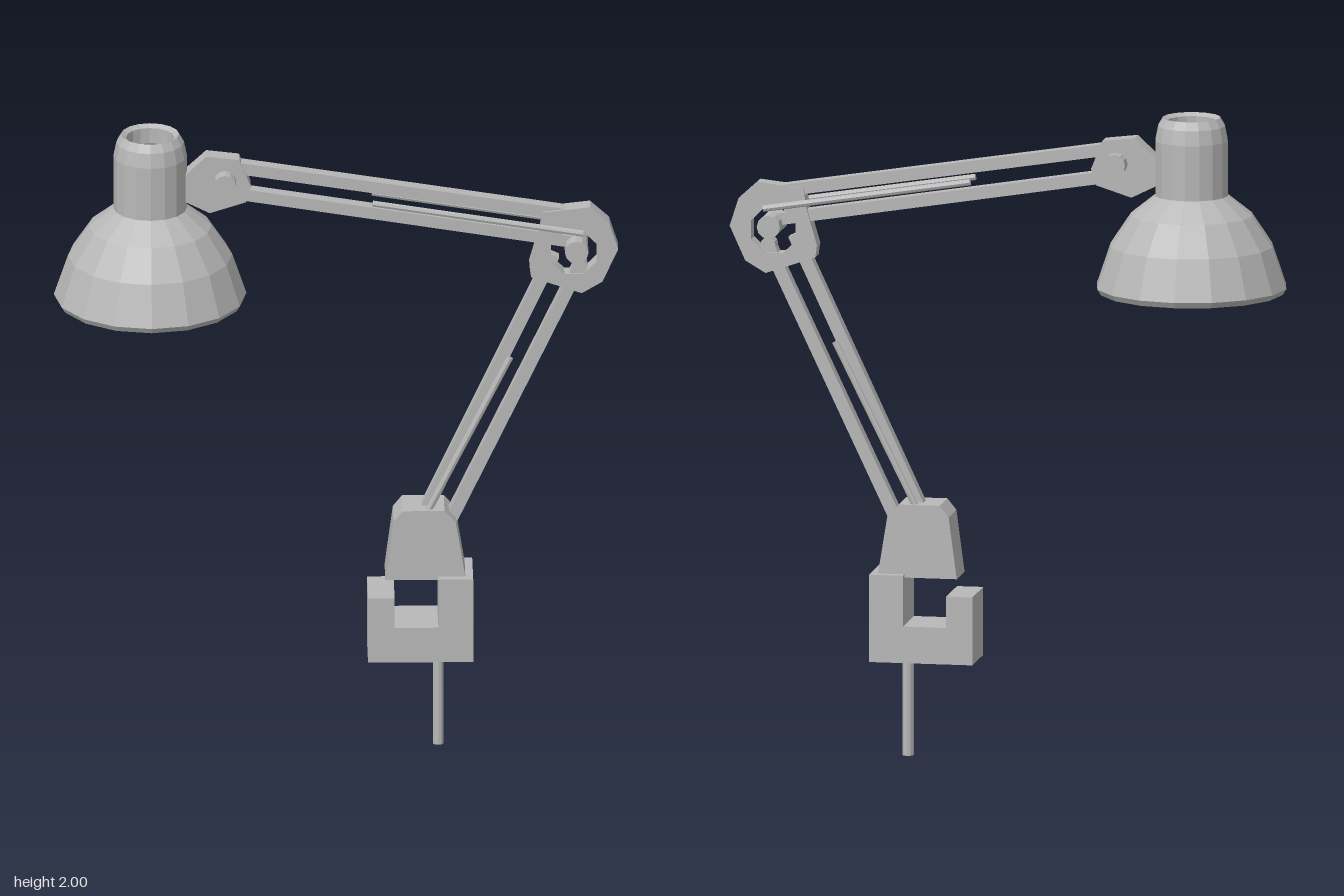
import * as THREE from 'three';

export function createModel() {
  const lamp = new THREE.Group();
  lamp.name = 'clampLamp';
  const grey = new THREE.MeshStandardMaterial({ color: 0xb8b8b8, flatShading: true });
  grey.name = 'greyMetal';

  function add(name, geometry) {
    const mesh = new THREE.Mesh(geometry, grey);
    mesh.name = name;
    lamp.add(mesh);
    return mesh;
  }

  // Front outline extruded to a thickness centred on z = 0
  function plate(name, points, depth, hole) {
    const shape = new THREE.Shape(points.map(([x, y]) => new THREE.Vector2(x, y)));
    if (hole) shape.holes.push(new THREE.Path(hole.map(([x, y]) => new THREE.Vector2(x, y))));
    const geometry = new THREE.ExtrudeGeometry(shape, { depth, bevelEnabled: false });
    return add(name, geometry.translate(0, 0, -depth / 2));
  }

  // Straight bar between two points in the front plane
  function bar(name, [x1, y1], [x2, y2], width, depth, z = 0) {
    const length = Math.hypot(x2 - x1, y2 - y1);
    const mesh = add(name, new THREE.BoxGeometry(length, width, depth));
    mesh.position.set((x1 + x2) / 2, (y1 + y2) / 2, z);
    mesh.rotation.z = Math.atan2(y2 - y1, x2 - x1);
  }

  // Thin round spring rods, mirrored on both faces of an arm
  function springPair(name, [x1, y1], [x2, y2]) {
    const length = Math.hypot(x2 - x1, y2 - y1);
    for (const z of [-0.045, 0.045]) {
      const mesh = add(name, new THREE.CylinderGeometry(0.01, 0.01, length, 8));
      mesh.position.set((x1 + x2) / 2, (y1 + y2) / 2, z);
      mesh.rotation.z = Math.atan2(y2 - y1, x2 - x1) - Math.PI / 2;
    }
  }

  // Pivot pin running along z
  function pin(name, x, y, radius, length) {
    const geometry = new THREE.CylinderGeometry(radius, radius, length, 12);
    add(name, geometry.rotateX(Math.PI / 2)).position.set(x, y, 0);
  }

  // Hollow shade and neck: outside upwards, inside back down
  const profile = [
    [0.27, 1.475], [0.282, 1.46], [0.293, 1.478], [0.25, 1.605], [0.187, 1.7],
    [0.112, 1.76], [0.112, 1.93], [0.103, 1.975], [0.088, 2], [0.073, 1.99],
    [0.073, 1.94], [0.095, 1.92], [0.095, 1.75], [0.172, 1.685], [0.235, 1.595],
    [0.27, 1.475],
  ].map(([r, y]) => new THREE.Vector2(r, y));
  add('shade', new THREE.LatheGeometry(profile, 16)).position.x = -0.571;

  // Head bracket and its pivot
  plate('headBracket', [
    [-0.47, 1.87], [-0.4, 1.935], [-0.3, 1.923], [-0.265, 1.835],
    [-0.28, 1.785], [-0.39, 1.75], [-0.47, 1.79],
  ], 0.055);
  pin('headPin', -0.344, 1.854, 0.034, 0.136);

  // Upper arm
  bar('upperArmBar', [-0.31, 1.894], [0.72, 1.73], 0.037, 0.042);
  bar('upperArmBar', [-0.31, 1.81], [0.715, 1.644], 0.037, 0.042);
  springPair('upperSpring', [0.105, 1.785], [0.745, 1.682]);

  // Elbow ring with an octagonal opening
  const opening = [];
  for (let i = 0; i < 8; i++) {
    const a = (i + 0.5) * Math.PI / 4;
    opening.push([0.717 + 0.075 * Math.cos(a), 1.612 + 0.075 * Math.sin(a)]);
  }
  plate('elbowRing', [
    [0.624, 1.745], [0.767, 1.761], [0.825, 1.708], [0.852, 1.623], [0.804, 1.517],
    [0.741, 1.48], [0.587, 1.533], [0.582, 1.57], [0.614, 1.682],
  ], 0.056, opening);
  pin('elbowPin', 0.725, 1.629, 0.036, 0.138);
  pin('elbowBarEnd', 0.735, 1.565, 0.024, 0.044);

  // Lower arm
  bar('lowerArmBar', [0.655, 1.6], [0.238, 0.705], 0.038, 0.042);
  bar('lowerArmBar', [0.735, 1.565], [0.328, 0.705], 0.038, 0.042);
  springPair('lowerSpring', [0.523, 1.278], [0.245, 0.72]);

  // Tapered socket
  plate('armSocket', [
    [0.143, 0.56], [0.388, 0.56], [0.358, 0.745], [0.323, 0.785], [0.196, 0.785], [0.168, 0.75],
  ], 0.132);

  // Table clamp and its screw
  plate('clamp', [
    [0.09, 0.3], [0.41, 0.3], [0.41, 0.57], [0.304, 0.57], [0.304, 0.413],
    [0.171, 0.413], [0.171, 0.51], [0.09, 0.51],
  ], 0.182);
  add('clampScrew', new THREE.CylinderGeometry(0.017, 0.017, 0.32, 10)).position.set(0.305, 0.16, 0);

  return lamp;
}
